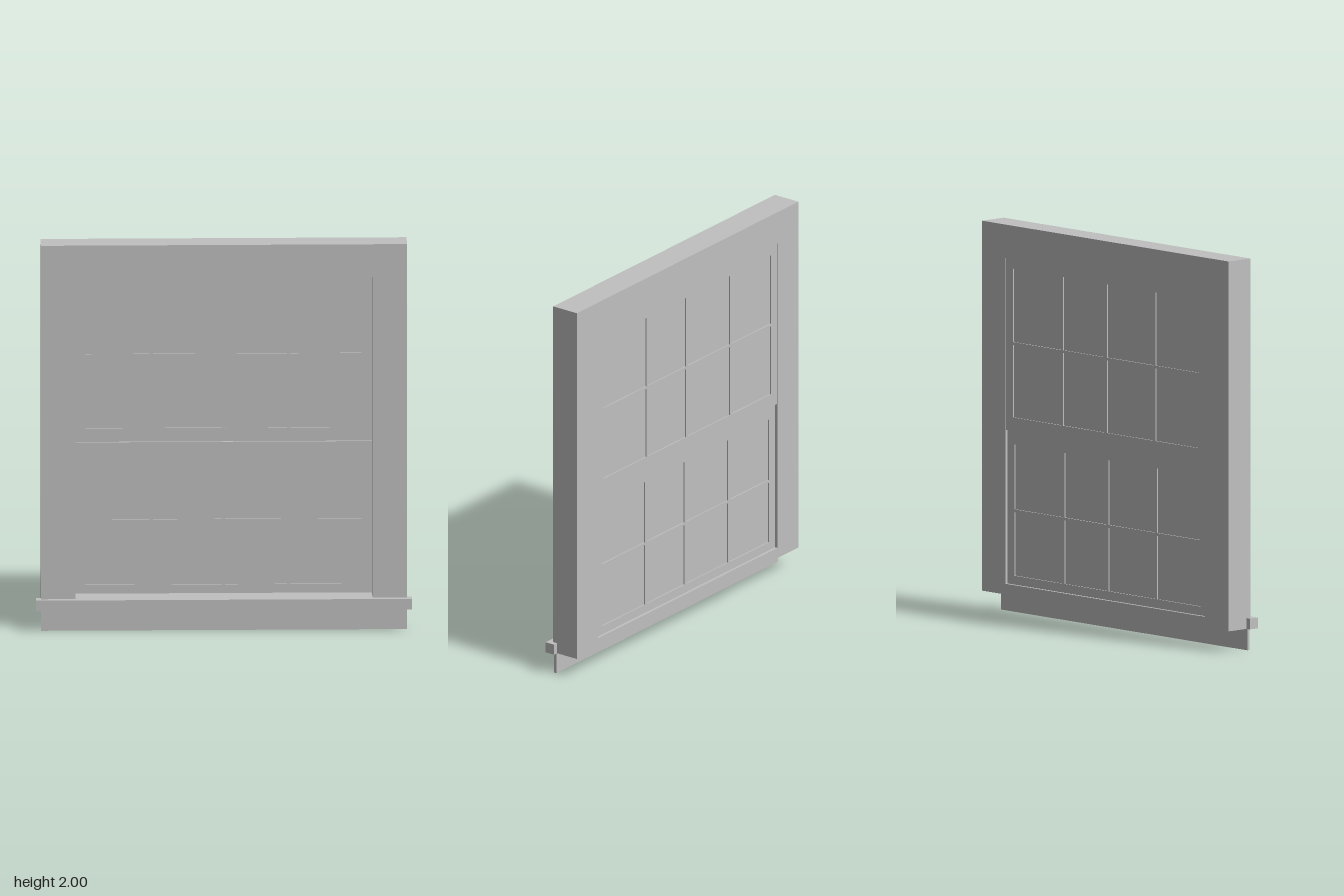
import * as THREE from 'three';

const rectPath = (P, x0, y0, x1, y1) => {
  const p = new P();
  p.moveTo(x0, y0);
  p.lineTo(x1, y0);
  p.lineTo(x1, y1);
  p.lineTo(x0, y1);
  p.closePath();
  return p;
};

export function createModel() {
  const group = new THREE.Group();
  group.name = 'sashWindow';
  const paint = new THREE.MeshStandardMaterial({ color: 0xc0c0c0 });
  paint.name = 'greyPaint';

  const add = (name, geometry, parent = group) => {
    const mesh = new THREE.Mesh(geometry, paint);
    mesh.name = name;
    parent.add(mesh);
  };

  // Box given by its two opposite corners
  const box = (x0, y0, z0, x1, y1, z1) =>
    new THREE.BoxGeometry(x1 - x0, y1 - y0, z1 - z0)
      .translate((x0 + x1) / 2, (y0 + y1) / 2, (z0 + z1) / 2);

  // Flat panel with rectangular openings, from z0 to z1
  const panel = (outer, holes, z0, z1) => {
    const shape = rectPath(THREE.Shape, ...outer);
    holes.forEach(h => shape.holes.push(rectPath(THREE.Path, ...h)));
    return new THREE.ExtrudeGeometry(shape, { depth: z1 - z0, bevelEnabled: false })
      .translate(0, 0, z0);
  };

  // Casing with deep reveals, sill nose with horns, and apron below
  add('casing', panel([-0.925, 0.11, 0.925, 2], [[-0.75, 0.165, 0.75, 1.83]], -0.09, 0.06));
  add('sill', box(-0.95, 0.11, 0.035, 0.95, 0.165, 0.09));
  add('apron', box(-0.925, 0, 0.04, 0.925, 0.11, 0.054));

  // Pane columns between the slim vertical glazing bars
  const columns = [[-0.7, -0.373], [-0.357, -0.008], [0.008, 0.321], [0.337, 0.697]];

  // Each sash: a framed panel of eight panes with thin glass in the middle
  const addSash = (name, y0, y1, paneBottom, paneTop, barY, z0, z1) => {
    const sash = new THREE.Group();
    sash.name = name;
    group.add(sash);
    const panes = columns.flatMap(([a, b]) => [
      [a, paneBottom, b, barY - 0.007],
      [a, barY + 0.007, b, paneTop],
    ]);
    add('sashFrame', panel([-0.75, y0, 0.75, y1], panes, z0, z1), sash);
    const mid = (z0 + z1) / 2;
    panes.forEach(([a, b, c, d]) => add('glass', box(a, b, mid - 0.0015, c, d, mid + 0.0015), sash));
  };
  addSash('upperSash', 0.95, 1.83, 1.02, 1.78, 1.398, -0.086, -0.07);
  addSash('lowerSash', 0.165, 0.95, 0.21, 0.88, 0.542, -0.075, -0.058);

  return group;
}
